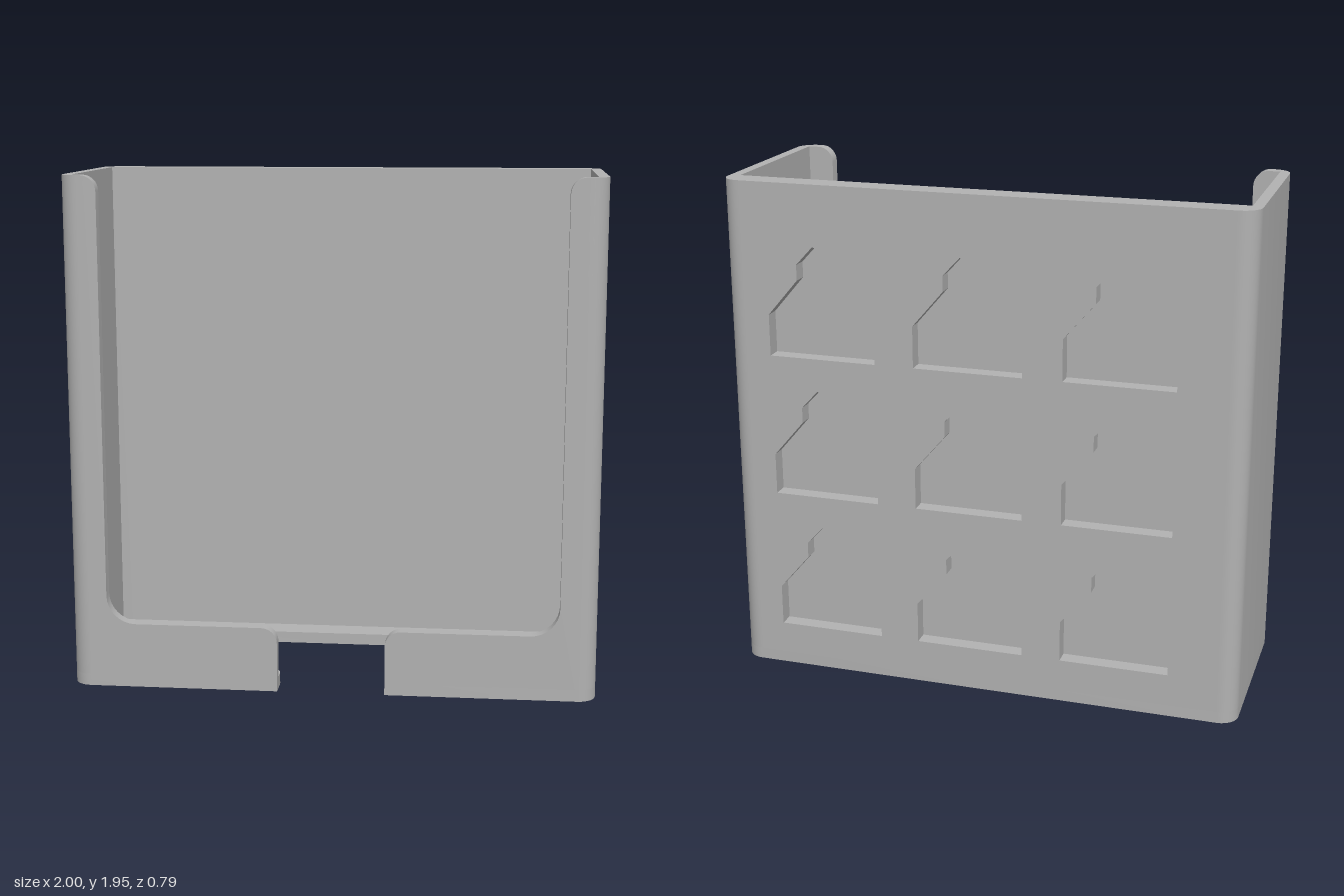
import * as THREE from 'three';
import { toCreasedNormals } from 'three/addons/utils/BufferGeometryUtils.js';

const H = 1.95, FLOOR = 0.045, R = 0.07;
const BACK = -0.395, FRONT = 0.395, INNER_BACK = -0.3, INNER_FRONT = 0.35;
const POCKET_DEPTH = 0.06;

// Draw a closed outline from [x, y, cornerRadius] points
function outline(points, path = new THREE.Shape()) {
  const n = points.length;
  points.forEach(([x, y, r = 0], i) => {
    const p = new THREE.Vector2(x, y);
    const toward = (q) => new THREE.Vector2(q[0], q[1]).sub(p).normalize();
    const a = toward(points[(i + n - 1) % n]);
    const b = toward(points[(i + 1) % n]);
    const start = p.clone().addScaledVector(a, r);
    if (i === 0) path.moveTo(start.x, start.y);
    else path.lineTo(start.x, start.y);
    if (r > 0) {
      const end = p.clone().addScaledVector(b, r);
      const c1 = p.clone().addScaledVector(a, r * 0.448);
      const c2 = p.clone().addScaledVector(b, r * 0.448);
      path.bezierCurveTo(c1.x, c1.y, c2.x, c2.y, end.x, end.y);
    }
  });
  path.closePath();
  return path;
}

function extrude(shape, depth) {
  const geo = new THREE.ExtrudeGeometry(shape, { depth, bevelEnabled: false, curveSegments: 8 });
  return toCreasedNormals(geo, 0.6);
}

// Plan outline in (x, z), raised from y0 to y1
function raise(points, y0, y1) {
  const geo = extrude(outline(points.map(([x, z, r]) => [x, -z, r])), y1 - y0);
  return geo.rotateX(-Math.PI / 2).translate(0, y0, 0);
}

export function createModel() {
  const model = new THREE.Group();
  model.name = 'wallHolder';
  const grey = new THREE.MeshStandardMaterial({ color: 0xb2b2b2 });
  grey.name = 'grey';
  const add = (name, geo) => {
    const mesh = new THREE.Mesh(geo, grey);
    mesh.name = name;
    model.add(mesh);
  };

  // Bottom rim, open in the middle with a slot to the front
  const half = [
    [1, BACK, R], [1, FRONT, R], [0.205, FRONT], [0.205, 0.25, 0.06],
    [0.86, 0.25, 0.06], [0.86, -0.195, 0.06],
  ];
  const mirrored = half.map(([x, z, r]) => [-x, z, r]).reverse();
  add('bottomRim', raise([...half, ...mirrored], 0, FLOOR));

  for (const s of [1, -1]) {
    const side = s > 0 ? 'left' : 'right';

    // Side wall with rounded outer corners and sharp inner ones
    add(side + 'Wall', raise([
      [s * 0.92, BACK], [s, BACK, R], [s, FRONT, R], [s * 0.92, FRONT],
      [s * 0.92, INNER_FRONT], [s * 0.96, INNER_FRONT],
      [s * 0.96, INNER_BACK], [s * 0.92, INNER_BACK],
    ], FLOOR, H));

    // Front lip: upright strip and low foot
    const lip = outline([
      [s * 0.205, FLOOR], [s * 0.92, FLOOR], [s * 0.92, H], [s * 0.86, H, 0.059],
      [s * 0.86, 0.25, 0.11], [s * 0.205, 0.25, 0.06],
    ]);
    add(side + 'FrontLip', extrude(lip, FRONT - INNER_FRONT).translate(0, 0, INNER_FRONT));
  }

  // Back panel: outer layer with a 3 x 3 grid of stepped pockets
  const panel = [[-0.92, FLOOR], [0.92, FLOOR], [0.92, H], [-0.92, H]];
  const pocket = [
    [0.21, 0], [0.21, 0.16], [0.09, 0.3], [0.09, 0.36],
    [0.025, 0.43], [-0.13, 0.43], [-0.21, 0.35], [-0.21, 0],
  ];
  const outer = outline(panel);
  for (let col = -1; col <= 1; col++) {
    for (let row = 0; row < 3; row++) {
      const hole = pocket.map(([x, y]) => [x + 0.045 + col * 0.572, y + 0.17 + row * 0.558]);
      outer.holes.push(outline(hole, new THREE.Path()));
    }
  }
  add('backPocketLayer', extrude(outer, POCKET_DEPTH).translate(0, 0, BACK));

  // Solid inner layer closing the pockets
  const floorZ = BACK + POCKET_DEPTH;
  add('backInnerLayer', extrude(outline(panel), INNER_BACK - floorZ).translate(0, 0, floorZ));

  return model;
}
